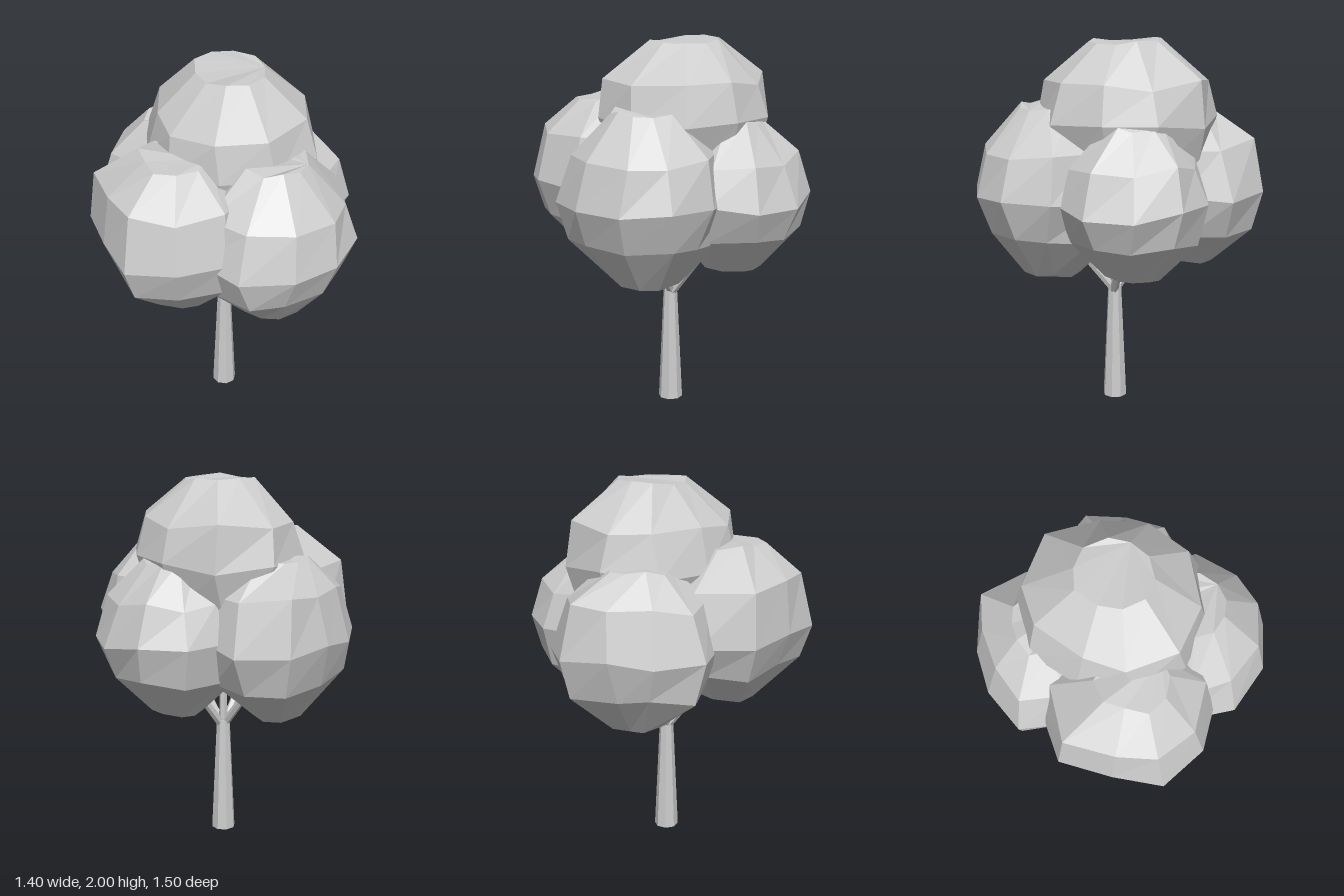
import * as THREE from 'three';

// Small seeded random source, returns -1..1
function makeRandom(seed) {
  let s = seed;
  return () => {
    s = (s * 16807) % 2147483647;
    return (s / 2147483647) * 2 - 1;
  };
}

// Unshared corners give every facet its own flat normal
function faceted(geometry) {
  const flat = geometry.index ? geometry.toNonIndexed() : geometry;
  flat.computeVertexNormals();
  return flat;
}

// Leaf clump: stacked ten-sided rings around an uneven outline, closed by flat caps
function clumpGeometry({ center: [cx, cy, cz], outline, levels, scale, start, seed }) {
  const random = makeRandom(seed);
  const n = outline.length;
  const positions = [];
  const index = [];
  levels.forEach((y, j) => {
    for (let i = 0; i < n; i++) {
      const middle = j === 2;
      const cap = j === 0 || j === levels.length - 1;
      const a = THREE.MathUtils.degToRad(start) + (i / n) * Math.PI * 2
        + (middle ? 0 : 0.09 * random());
      const r = outline[i] * scale[j] * (middle ? 1 : 1 + 0.05 * random());
      const lift = (cap ? 0.015 : 0.025) * random();
      positions.push(cx + r * Math.cos(a), cy + y + lift, cz + r * Math.sin(a));
    }
  });
  for (let j = 0; j < levels.length - 1; j++) {
    for (let i = 0; i < n; i++) {
      const a = j * n + i, b = j * n + (i + 1) % n;
      index.push(a, a + n, b, b, a + n, b + n);
    }
  }
  const top = (levels.length - 1) * n;
  for (let i = 1; i < n - 1; i++) {
    index.push(0, i, i + 1, top, top + i + 1, top + i);
  }
  const geometry = new THREE.BufferGeometry();
  geometry.setAttribute('position', new THREE.Float32BufferAttribute(positions, 3));
  geometry.setIndex(index);
  return faceted(geometry);
}

// Tapered limb between two points
function limbGeometry(from, to, r0, r1, sides) {
  const a = new THREE.Vector3(...from), b = new THREE.Vector3(...to);
  const dir = b.clone().sub(a);
  const geometry = new THREE.CylinderGeometry(r1, r0, dir.length(), sides);
  geometry.applyQuaternion(new THREE.Quaternion().setFromUnitVectors(
    new THREE.Vector3(0, 1, 0), dir.normalize()));
  geometry.translate(...a.add(b).multiplyScalar(0.5).toArray());
  return faceted(geometry);
}

// Outline radii at the widest ring; ring heights are relative to the centre
const clumps = [
  { name: 'frontClump', center: [0.2, 1.2, 0.33], start: 18, seed: 11,
    outline: [0.42, 0.4, 0.42, 0.46, 0.47, 0.43, 0.41, 0.42, 0.42, 0.41],
    levels: [-0.42, -0.2, 0, 0.25, 0.46], scale: [0.38, 0.85, 1, 0.85, 0.38] },
  { name: 'rightClump', center: [-0.28, 1.24, 0.23], start: 28, seed: 23,
    outline: [0.38, 0.41, 0.42, 0.44, 0.39, 0.48, 0.48, 0.42, 0.42, 0.4],
    levels: [-0.38, -0.19, 0, 0.26, 0.44], scale: [0.4, 0.85, 1, 0.88, 0.4] },
  { name: 'backClump', center: [-0.19, 1.2, -0.32], start: 28, seed: 37,
    outline: [0.41, 0.41, 0.42, 0.42, 0.445, 0.37, 0.36, 0.44, 0.45, 0.42],
    levels: [-0.42, -0.2, 0, 0.25, 0.41], scale: [0.34, 0.85, 1, 0.82, 0.38] },
  { name: 'leftClump', center: [0.31, 1.2, -0.15], start: 22, seed: 41,
    outline: [0.42, 0.41, 0.4, 0.4, 0.4, 0.4, 0.39, 0.39, 0.4, 0.4],
    levels: [-0.4, -0.19, 0, 0.21, 0.39], scale: [0.36, 0.85, 1, 0.82, 0.38] },
  { name: 'topClump', center: [0.04, 1.58, -0.03], start: 0, seed: 53,
    outline: [0.44, 0.48, 0.46, 0.47, 0.45, 0.43, 0.48, 0.49, 0.48, 0.45],
    levels: [-0.42, -0.23, 0, 0.21, 0.405], scale: [0.42, 0.86, 1, 0.9, 0.4] },
];

export function createModel() {
  const tree = new THREE.Group();
  tree.name = 'tree';
  const grey = new THREE.MeshStandardMaterial({ color: 0xcccccc });
  grey.name = 'light grey';
  const add = (name, geometry) => {
    const mesh = new THREE.Mesh(geometry, grey);
    mesh.name = name;
    tree.add(mesh);
  };

  // Trunk
  add('trunk', limbGeometry([0, 0, 0.035], [0, 0.645, 0.035], 0.066, 0.037, 8));

  // Branches fan out into the leaf clumps
  for (const c of clumps) {
    const [x, , z] = c.center;
    const isTop = c.name === 'topClump';
    const reach = isTop ? 0 : 0.27 / Math.hypot(x, z);
    const end = [x * reach, isTop ? 1.2 : 0.95, 0.035 + z * reach];
    add('branch', limbGeometry([end[0] * 0.06, 0.62, 0.035], end, 0.024, 0.017, 6));
  }

  // Foliage
  for (const c of clumps) add(c.name, clumpGeometry(c));
  return tree;
}
